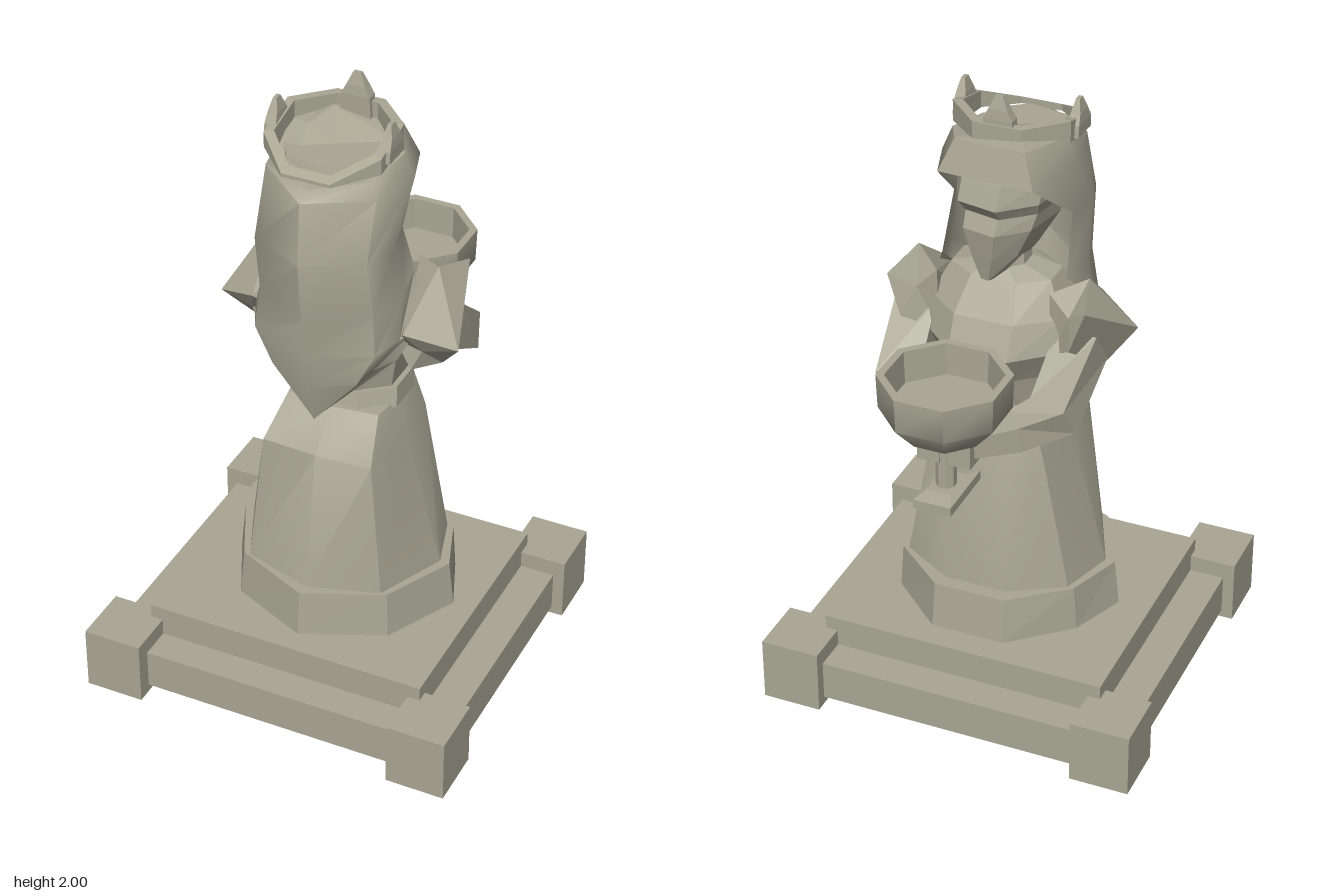
import * as THREE from 'three';
import { toCreasedNormals } from 'three/addons/utils/BufferGeometryUtils.js';

const stone = new THREE.MeshStandardMaterial({ color: 0xa9a694, side: THREE.DoubleSide });
stone.name = 'stone';

function part(name, geometry, parent, x = 0, y = 0, z = 0) {
  const mesh = new THREE.Mesh(geometry, stone);
  mesh.name = name;
  mesh.position.set(x, y, z);
  parent.add(mesh);
  return mesh;
}

// Skin a list of rings with flat facets
function loft(rings, { closed = true, capStart = false, capEnd = false } = {}) {
  const out = [];
  const n = rings[0].length;
  const tri = (...pts) => pts.forEach(p => out.push(...p));
  for (let i = 0; i < rings.length - 1; i++) {
    for (let j = 0; j < (closed ? n : n - 1); j++) {
      const k = (j + 1) % n;
      const a = rings[i][j], b = rings[i][k], c = rings[i + 1][k], d = rings[i + 1][j];
      tri(a, b, c);
      tri(a, c, d);
    }
  }
  const cap = (ring, flip) => {
    const mid = [0, 1, 2].map(c => ring.reduce((s, p) => s + p[c], 0) / n);
    ring.forEach((p, j) => {
      const q = ring[(j + 1) % n];
      flip ? tri(mid, q, p) : tri(mid, p, q);
    });
  };
  if (capStart) cap(rings[0], true);
  if (capEnd) cap(rings[rings.length - 1], false);
  const g = new THREE.BufferGeometry();
  g.setAttribute('position', new THREE.Float32BufferAttribute(out, 3));
  g.computeVertexNormals();
  return g;
}

// Eight-sided horizontal ring with half width w, spanning zf (face side) to zb
function octRing([y, w, zf, zb]) {
  const c = (zf + zb) / 2, h = (zb - zf) / 2, k = 0.45;
  return [[w, k], [k * w, 1], [-k * w, 1], [-w, k], [-w, -k], [-k * w, -1], [k * w, -1], [w, -k]]
    .map(([x, z]) => [x, y, c + z * h]).reverse();
}

function rectRing(x, y, z0, z1) {
  return [[x, y, z1], [x, y, z0], [-x, y, z0], [-x, y, z1]];
}

function regularRing(r, y, n, cx, cz, turn = 0) {
  return Array.from({ length: n }, (_, i) => {
    const a = turn + (i / n) * Math.PI * 2;
    return [cx + r * Math.sin(a), y, cz + r * Math.cos(a)];
  });
}

// Square-section limb through stations [x, y, z, halfWidth, halfHeight]
function limb(stations) {
  const pts = stations.map(s => new THREE.Vector3(s[0], s[1], s[2]));
  const rings = stations.map((s, i) => {
    const t = pts[Math.min(i + 1, pts.length - 1)].clone().sub(pts[Math.max(i - 1, 0)]).normalize();
    const side = new THREE.Vector3(0, 1, 0).cross(t).normalize();
    const up = t.clone().cross(side);
    return [[1, 1], [-1, 1], [-1, -1], [1, -1]].map(([u, v]) =>
      pts[i].clone().addScaledVector(side, u * s[3]).addScaledVector(up, v * s[4]).toArray());
  });
  return loft(rings, { capStart: true, capEnd: true });
}

function buildBase(g) {
  // Stepped hollow plinth
  part('plinth', loft([
    rectRing(0.575, 0.025, -0.497, 0.565), rectRing(0.575, 0.155, -0.497, 0.565),
    rectRing(0.462, 0.155, -0.388, 0.46), rectRing(0.462, 0.255, -0.388, 0.46),
  ], { capEnd: true }), g);
  // Open-bottomed corner blocks
  for (const x of [-0.517, 0.517]) for (const z of [-0.437, 0.518]) {
    const ring = y => rectRing(0.095, y, -0.097, 0.097);
    part('cornerBlock', loft([ring(0), ring(0.21)], { capEnd: true }), g, x, 0, z);
  }
}

function buildDress(g) {
  // Nine-sided sections from rear point round to the front, mirrored
  const ring = (y, rear, half) => [[0, rear], ...half, ...half.slice().reverse().map(([x, z]) => [-x, z])]
    .map(([x, z]) => [0.015 + x, y, z]);
  part('hemBand', loft([
    ring(0.255, 0.387, [[0.255, 0.275], [0.372, 0.04], [0.3, -0.14], [0.12, -0.3]]),
    ring(0.405, 0.372, [[0.245, 0.265], [0.355, 0.04], [0.29, -0.14], [0.115, -0.285]]),
  ], { capEnd: true }), g);
  part('skirt', toCreasedNormals(loft([
    ring(0.4, 0.335, [[0.225, 0.265], [0.325, 0.04], [0.27, -0.14], [0.1, -0.24]]),
    ring(0.85, 0.255, [[0.18, 0.245], [0.205, 0.04], [0.185, -0.14], [0.1, -0.19]]),
    ring(0.965, 0.15, [[0.15, 0.13], [0.168, 0], [0.15, -0.13], [0.08, -0.145]]),
  ], { capEnd: true }), 0.65), g);
  part('belt', loft([[0.955, 0.175, -0.15, 0.13], [1.02, 0.17, -0.155, 0.115]].map(octRing),
    { capStart: true, capEnd: true }), g, 0.015);
  part('torso', loft([
    [1.0, 0.155, -0.14, 0.11], [1.12, 0.175, -0.165, 0.135], [1.22, 0.21, -0.22, 0.155],
    [1.32, 0.21, -0.175, 0.16], [1.42, 0.16, -0.1, 0.11], [1.45, 0.07, -0.07, 0.07], [1.55, 0.06, -0.06, 0.07],
  ].map(octRing), { capEnd: true }), g, 0.01);
}

function buildArms(g) {
  // Puffed sleeve: shoulder section and elbow section
  const puff = [
    [[0.18, 1.41, -0.1], [0.275, 1.44, -0.02], [0.315, 1.4, -0.16], [0.27, 1.27, -0.17], [0.18, 1.2, -0.09]],
    [[0.2, 1.25, 0.12], [0.245, 1.3, 0.165], [0.39, 1.24, 0.09], [0.31, 1.135, 0.02], [0.25, 1.15, 0.115]],
  ];
  const forearm = [
    [0.262, 1.23, -0.04, 0.065, 0.07], [0.25, 1.085, -0.235, 0.065, 0.055],
    [0.16, 1.055, -0.32, 0.05, 0.042], [0.06, 1.05, -0.41, 0.04, 0.035]];
  for (const s of [-1, 1]) {
    const place = ([x, ...rest]) => [0.012 + s * x, ...rest];
    part('puffSleeve', loft(puff.map(r => r.map(place)), { capStart: true, capEnd: true }), g);
    part('forearm', limb(forearm.map(place)), g);
    part('hand', new THREE.BoxGeometry(0.07, 0.11, 0.09), g, 0.012 + s * 0.05, 1.045, -0.42);
  }
}

function buildGoblet(g) {
  const ring = ([r, y]) => regularRing(r, y, 8, 0.02, -0.43, Math.PI / 8);
  // Bowl, outside then inside with a flat floor
  part('gobletBowl', toCreasedNormals(loft([[0.04, 1.06], [0.125, 1.085], [0.196, 1.165], [0.2, 1.275],
    [0.175, 1.275], [0.172, 1.17]].map(ring), { capStart: true, capEnd: true }), 0.7), g);
  part('gobletStem', loft([[0.032, 0.88], [0.03, 1.08]].map(ring)), g);
  part('gobletFoot', loft([[0.06, 0.11, 0.86], [0.06, 0.11, 0.89], [0.04, 0.06, 0.9]]
    .map(([x, z, y]) => rectRing(x, y, -z, z)), { capStart: true, capEnd: true }), g, 0.02, 0, -0.425);
}

function buildHead(g) {
  // Head turned slightly to one side, with a pointed chin and a fringe
  const head = part('head', loft([
    [1.42, 0.03, -0.115, 0.05], [1.5, 0.08, -0.13, 0.12], [1.59, 0.12, -0.145, 0.2], [1.64, 0.13, -0.125, 0.22],
    [1.68, 0.145, -0.155, 0.24], [1.75, 0.15, -0.13, 0.25], [1.84, 0.14, -0.085, 0.22],
  ].map(octRing), { capStart: true, capEnd: true }), g, 0.01);
  head.rotation.y = -0.2;

  // Veil rows: front-edge x, y, z, then side half width, back y, back z
  const rows = [
    [0.12, 1.865, -0.115, 0.18, 1.8, 0.3], [0.165, 1.765, -0.15, 0.21, 1.78, 0.345],
    [0.19, 1.6, 0.06, 0.215, 1.58, 0.36], [0.2, 1.42, -0.01, 0.22, 1.38, 0.34],
    [0.265, 1.3, 0.09, 0.235, 1.25, 0.32], [0.22, 1.2, 0.15, 0.165, 1.13, 0.3], [0, 0.99, 0.25, 0, 0.99, 0.265],
  ].map(([ex, ey, ez, w, by, bz], i) => {
    const mix = (a, b, t) => a + (b - a) * t;
    const side = [[ex, ey, ez], [w, mix(ey, by, 0.35), mix(ez, bz, 0.35)], [w * 0.83, mix(ey, by, 0.72), mix(ez, bz, 0.72)]];
    const ring = [...side.map(([x, y, z]) => [-x, y, z]), [0, by, bz], ...side.slice().reverse()];
    const skew = i < 2 ? 1 : 0;
    return ring.map(([x, y, z]) => [x + 0.015, y - skew * 0.1 * x, z + skew * 0.22 * x * (z < 0 ? 1 : 0)]);
  });
  part('veil', toCreasedNormals(loft(rows.slice().reverse(), { closed: false }), 0.9), g);
  part('veilTop', loft([rows[0], rows[0].map(([x, y, z]) => [x * 0.6, y + 0.005, 0.1 + (z - 0.1) * 0.6])],
    { capEnd: true }), g);
  // Forehead edge of the veil
  const [a, b] = rows;
  part('veilBrow', loft([[b[0], b[6]], [a[0], a[6]]], { closed: false }), g);
}

function buildCrown(g) {
  // Tilted band, thinning out towards the rear
  const band = (r, top) => regularRing(r, 0, 8, 0.005, 0.1, Math.PI / 8).map(([x, , z]) =>
    [x, top ? 1.915 - Math.max(0, z - 0.1) * 0.48 : 1.838 - (z - 0.1) * 0.12, z]);
  part('crownBand', loft([band(0.2, false), band(0.2, true), band(0.17, true), band(0.17, false)]), g);
  // Blunt points at the brow and both sides: [x, z, tip height, turn]
  for (const [x, z, tip, turn] of [[0.005, -0.06, 2, 0], [-0.175, 0.1, 1.957, 1], [0.185, 0.1, 1.957, 1]]) {
    const wide = (w, d, y) => rectRing(w, y, -d, d);
    const point = part('crownPoint', loft([wide(0.05, 0.018, 1.85), wide(0.045, 0.018, tip - 0.07),
      wide(0.03, 0.015, tip - 0.04), wide(0.012, 0.006, tip)], { capEnd: true }), g, x, 0, z);
    point.rotation.y = turn * Math.PI / 2;
  }
}

export function createModel() {
  const model = new THREE.Group();
  model.name = 'statue';
  for (const [name, build] of [['base', buildBase], ['dress', buildDress], ['arms', buildArms],
    ['goblet', buildGoblet], ['headAndVeil', buildHead], ['crown', buildCrown]]) {
    const group = new THREE.Group();
    group.name = name;
    build(group);
    model.add(group);
  }
  return model;
}
